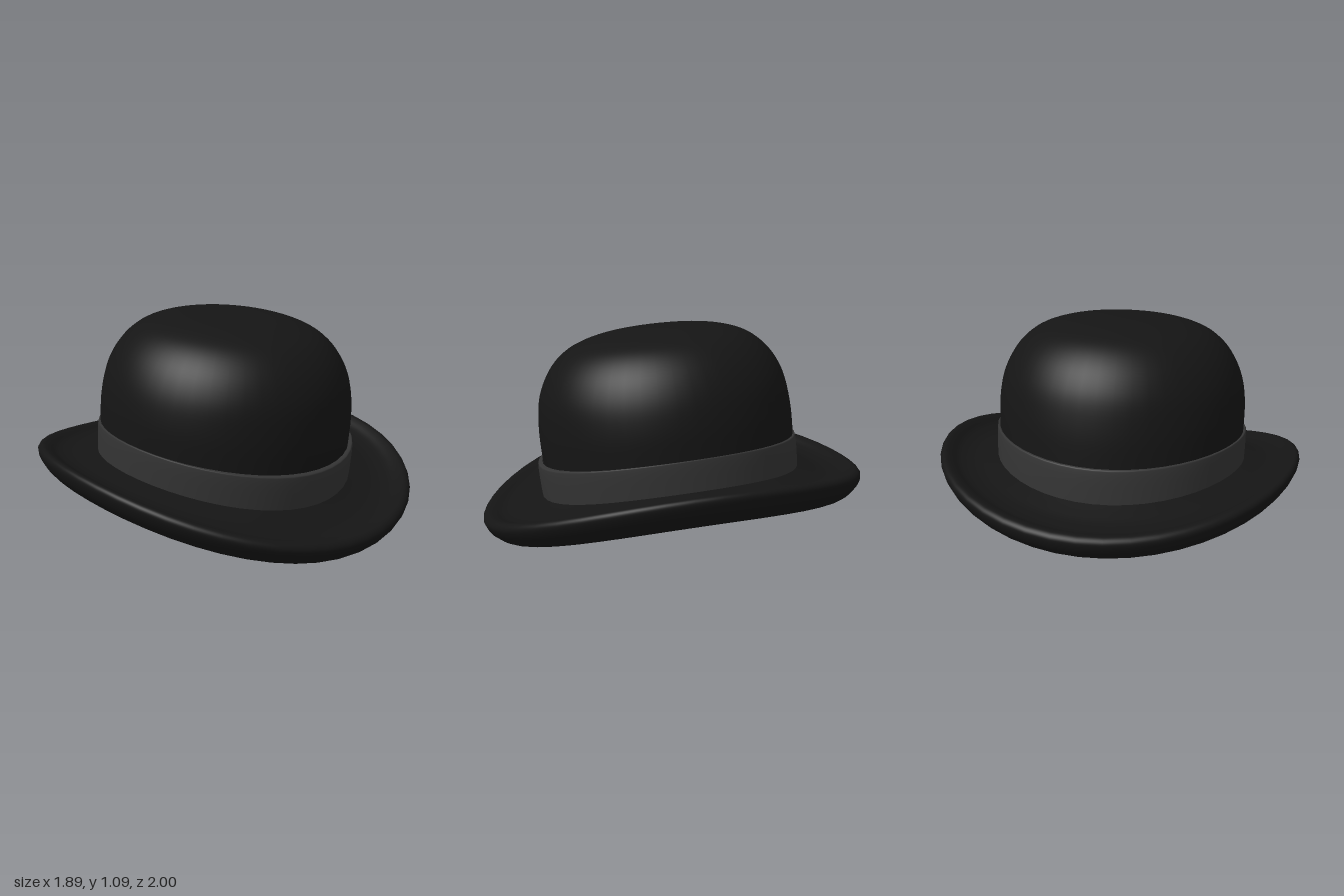
import * as THREE from 'three';
import { mergeVertices } from 'three/addons/utils/BufferGeometryUtils.js';

const SEGMENTS = 48;
const INNER = 0.64, OUTER = 0.945; // brim radii

// Turn a smooth profile, then make it oval (depth) and lift its sides (saddle).
// Towards the brim edge both grow, and the outline becomes slightly squarer.
function hatPart(name, profile, divisions, material, depth, saddle) {
  const curve = new THREE.SplineCurve(profile.map(([r, y]) => new THREE.Vector2(r, y)));
  const points = curve.getPoints(divisions);
  points.forEach((p) => { p.x = Math.max(p.x, 0); });
  let geometry = new THREE.LatheGeometry(points, SEGMENTS);
  const pos = geometry.attributes.position;
  for (let i = 0; i < pos.count; i++) {
    const x = pos.getX(i), y = pos.getY(i), z = pos.getZ(i);
    const r = Math.hypot(x, z);
    const k = THREE.MathUtils.clamp((r - INNER) / (OUTER - INNER), 0, 1);
    const side = r > 1e-5 ? (x * x) / (r * r) : 0;
    const fade = 1 - THREE.MathUtils.smoothstep(y, 0.46, 0.8);
    const square = 1 + 0.015 * k * 4 * side * (1 - side);
    const edgeLift = (0.18 - saddle) * Math.pow(k, 0.85);
    pos.setXYZ(i,
      x * square,
      y + side * fade * (saddle + edgeLift),
      z * square * THREE.MathUtils.lerp(depth, 1.062, k));
  }
  // weld the lathe seam so the shading runs round smoothly
  geometry.deleteAttribute('uv');
  geometry.deleteAttribute('normal');
  geometry = mergeVertices(geometry, 1e-5);
  geometry.computeVertexNormals();
  const mesh = new THREE.Mesh(geometry, material);
  mesh.name = name;
  return mesh;
}

export function createModel() {
  const felt = new THREE.MeshStandardMaterial({ color: 0x151515, side: THREE.DoubleSide });
  const ribbon = new THREE.MeshStandardMaterial({ color: 0x343434, side: THREE.DoubleSide });

  // domed crown, bottom to top
  const crown = hatPart('crown', [
    [0.638, 0.24], [0.645, 0.45], [0.645, 0.6], [0.631, 0.735], [0.602, 0.83], [0.553, 0.915],
    [0.485, 0.984], [0.403, 1.029], [0.285, 1.061], [0.15, 1.073], [0, 1.076],
  ], 48, felt, 1.03, 0.05);
  crown.position.z = -0.008;

  // ribbon band with a softly turned-in top edge
  const band = hatPart('band', [
    [0.656, 0.25], [0.658, 0.3], [0.66, 0.38], [0.659, 0.43], [0.655, 0.444], [0.638, 0.449],
  ], 24, ribbon, 1.037, 0.05);

  // hollow inside flowing into the brim: down the inner wall, out along the
  // underside, round the thick rolled edge and back to the crown
  const brim = hatPart('brimAndLining', [
    [0, 1.045], [0.15, 1.042], [0.28, 1.028], [0.38, 0.995], [0.46, 0.95], [0.525, 0.88],
    [0.57, 0.795], [0.597, 0.7], [0.607, 0.55], [0.603, 0.4], [0.6, 0.28], [0.607, 0.208],
    [0.636, 0.16], [0.69, 0.131], [0.755, 0.109], [0.82, 0.095], [0.875, 0.103], [0.92, 0.14],
    [0.943, 0.185], [0.941, 0.212], [0.922, 0.229], [0.893, 0.226], [0.85, 0.213],
    [0.78, 0.221], [0.71, 0.25], [0.638, 0.285],
  ], 110, felt, 1.027, 0.065);

  // worn tilt: front low, a touch of sideways lean
  const hat = new THREE.Group();
  hat.name = 'hat';
  hat.add(crown, band, brim);
  hat.rotation.set(0.108, 0, 0.01);
  hat.position.z = -0.02;

  const model = new THREE.Group();
  model.name = 'roundHat';
  model.add(hat);
  return model;
}
